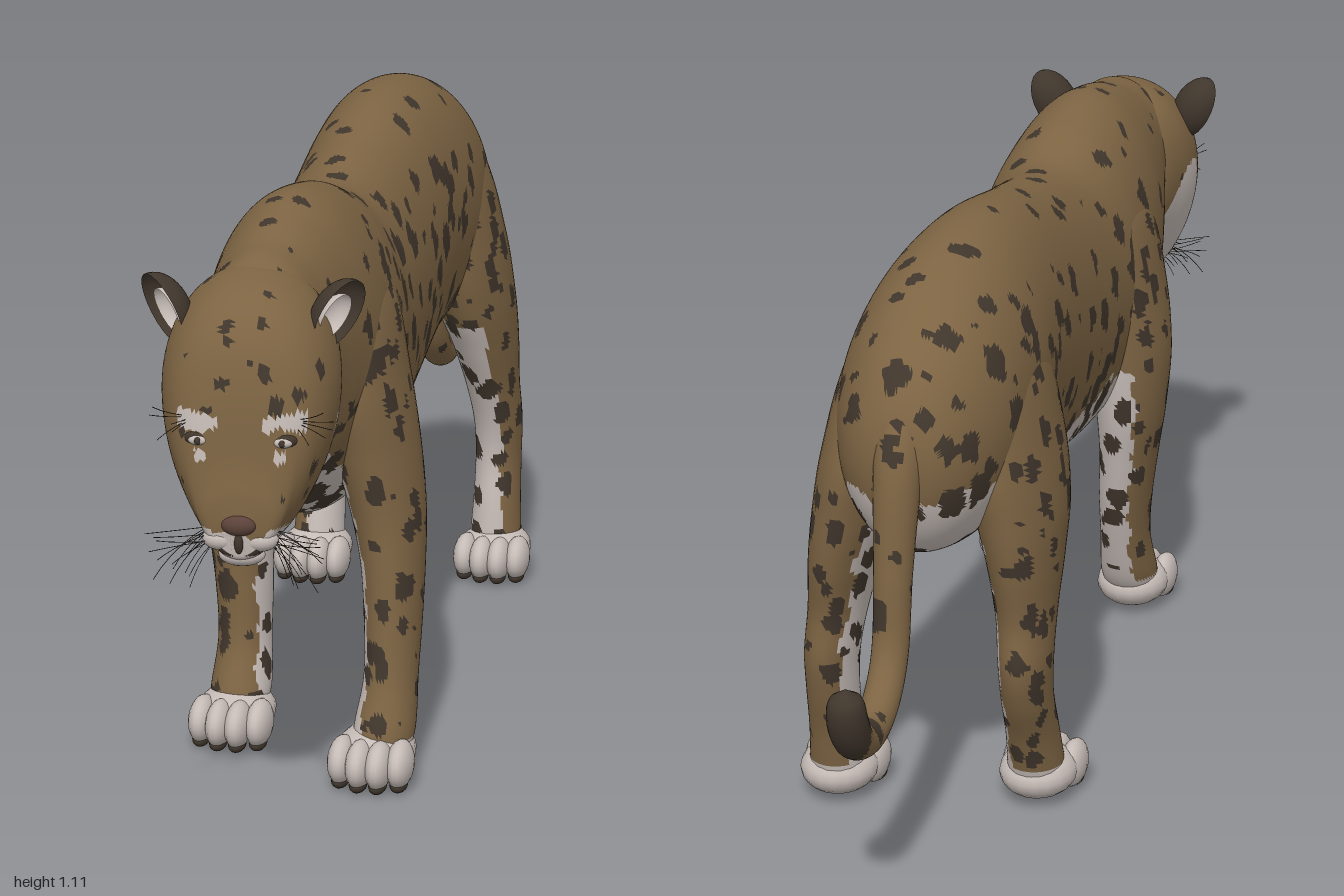
import * as THREE from 'three';

const mat = (name, color, side = THREE.FrontSide) => {
  const m = new THREE.MeshStandardMaterial({ color, side });
  m.name = name;
  return m;
};
const tan = mat('tanFur', 0x7d6443);
const pale = mat('paleFur', 0xc6bcb7, THREE.DoubleSide);
const dark = mat('darkSpot', 0x40362c, THREE.DoubleSide);
const noseMat = mat('noseBrown', 0x5c433a);
const COAT = [tan, pale, dark];
const TAN = 0, PALE = 1, DARK = 2;

// Repeatable scatter of irregular spots in space
const hash = (i, j, k) => {
  let h = Math.imul(i, 374761393) ^ Math.imul(j, 668265263) ^ Math.imul(k, 1440662683);
  h = Math.imul(h ^ (h >>> 13), 1274126177);
  h = Math.imul(h ^ (h >>> 15), 461845907);
  return ((h ^ (h >>> 16)) >>> 0) / 4294967296;
};
const wobble = p => Math.sin(p.x * 61 + p.y * 47) * 0.5 + Math.sin(p.z * 53 - p.y * 71) * 0.5;
function spotted(p, size, cell = 0.07) {
  const q = [p.x / cell, p.y * 0.8 / cell, p.z / cell];
  const [a, b, c] = q.map(Math.floor);
  const edge = 0.05 * Math.sin(p.y * 130 + p.z * 90) + 0.04 * Math.sin(p.z * 150 - p.x * 120);
  for (let i = a - 1; i <= a + 1; i++)
    for (let j = b - 1; j <= b + 1; j++)
      for (let k = c - 1; k <= c + 1; k++) {
        const d = Math.hypot(
          q[0] - i - hash(i, j, k), q[1] - j - hash(j + 9, k, i), q[2] - k - hash(k, i + 5, j));
        if (d + edge < size * (0.24 + 0.17 * hash(i + 3, k, j))) return true;
      }
  return false;
}

// Loft of ellipses: keys are [x, y, z, half width, half depth]; paint picks a colour per face
function loft(name, keys, rows, cols, paint, axis, taper = 0) {
  const curve = f => new THREE.CatmullRomCurve3(keys.map(f), false, 'catmullrom', 0.5);
  const path = curve(k => new THREE.Vector3(k[0], k[1], k[2]));
  const radii = curve(k => new THREE.Vector3(k[3], k[4], 0));
  const X = new THREE.Vector3(1, 0, 0), pos = [];
  for (let i = 0; i <= rows; i++) {
    const t = path.getUtoTmapping(i / rows);
    const c = path.getPoint(t), r = radii.getPoint(t);
    const dir = axis ? axis.clone() : path.getTangent(t).setX(0).normalize();
    const V = dir.cross(X);
    for (let j = 0; j < cols; j++) {
      const a = j / cols * Math.PI * 2;
      const w = Math.max(r.x, 0.001) * Math.cos(a) * (1 + taper * Math.sin(a));
      const h = Math.max(r.y, 0.001) * Math.sin(a);
      pos.push(c.x + w, c.y + V.y * h, c.z + V.z * h);
    }
  }
  const lists = [[], [], []], p = new THREE.Vector3();
  const add = (j, ...tri) => {
    const a = (j + 0.5) / cols * Math.PI * 2;
    p.set(0, 0, 0);
    for (const v of tri) p.add(new THREE.Vector3().fromArray(pos, v * 3));
    lists[paint(p.divideScalar(3), Math.cos(a), Math.sin(a))].push(...tri);
  };
  for (let i = 0; i < rows; i++)
    for (let j = 0; j < cols; j++) {
      const a = i * cols + j, b = i * cols + (j + 1) % cols;
      add(j, a, b, a + cols);
      add(j, b, b + cols, a + cols);
    }
  const geo = new THREE.BufferGeometry();
  geo.setAttribute('position', new THREE.Float32BufferAttribute(pos, 3));
  geo.setIndex(lists.flat());
  let start = 0;
  lists.forEach((l, m) => { geo.addGroup(start, l.length, m); start += l.length; });
  geo.computeVertexNormals();
  const mesh = new THREE.Mesh(geo, COAT);
  mesh.name = name;
  return mesh;
}

function ball(name, material, [x, y, z], [rx, ry, rz], geo = new THREE.SphereGeometry(1, 18, 12)) {
  const m = new THREE.Mesh(geo, material);
  m.name = name;
  m.position.set(x, y, z);
  m.scale.set(rx, ry, rz);
  return m;
}

// Coat rules
function torsoPaint(p) {
  const w = wobble(p) * 0.025;
  const belly = p.z < 0.46 && p.y < 0.605 + w;
  const chest = p.z > 0.46 && p.y < 0.76 + w && Math.abs(p.x) < 0.1 + w;
  const rump = p.z < -0.6 && p.y < 0.72 + w;
  const under = belly || chest || rump;
  const size = under ? (p.y < 0.62 ? 1.4 : 1) : p.z > 0.42 && p.y > 0.75 ? 0.75 : p.y > 1 ? 0.9 : 1.05;
  return spotted(p, size) ? DARK : under ? PALE : TAN;
}
// Pale on the inside, reaching round the back of the fore legs and the front of the hind legs
const legPaint = (side, turn) => (p, c, s) => {
  const inner = p.y < 0.6 + wobble(p) * 0.03 && c * side + turn * s < -0.2 + wobble(p) * 0.15;
  if (p.y < 0.09) return PALE;
  return spotted(p, p.y < 0.2 ? 0.9 : 1.1, 0.056) ? DARK : inner ? PALE : TAN;
};
function tailPaint(p) {
  if (p.z < -1.06 && p.z > -1.125 && p.x > 0.008 && wobble(p) > 0.3) return PALE;
  return p.z < -1.1 || spotted(p, 1.15, 0.06) ? DARK : TAN;
}
function headPaint(p) {
  const w = wobble(p) * 0.012, ax = Math.abs(p.x);
  if (p.z > 0.11 && Math.abs(p.y - 0.592) < 0.007) return DARK;
  if (p.y < 0.6 + w || (p.z > 0.12 && p.y < 0.625 + w)) return PALE;
  const cheek = Math.hypot((p.z + 0.035) / 0.08, (p.y - 0.72) / (p.y < 0.72 ? 0.2 : 0.16));
  if (ax > 0.06 && cheek < 1 + w * 8) return PALE;
  if (p.z > 0.08 && ax > 0.04 && ax < 0.115 && Math.abs(p.y - 0.826) < 0.014 + w) return PALE;
  if (p.z > 0.1 && ax > 0.06 && ax < 0.08 && Math.abs(p.y - 0.762) < 0.01) return PALE;
  return spotted(p, 0.5) ? DARK : TAN;
}

// Paw with four toes and pads
function paw(name, x, z) {
  const g = new THREE.Group();
  g.name = name;
  g.position.set(x, 0, z);
  g.add(ball('pawBody', pale, [0, 0.06, -0.025], [0.075, 0.05, 0.085]));
  g.add(ball('heelPad', dark, [0, 0.018, -0.02], [0.034, 0.012, 0.03]));
  for (let i = 0; i < 4; i++) {
    const k = i - 1.5, tz = 0.053 - Math.abs(k) * 0.016;
    g.add(ball('toe', pale, [k * 0.037, 0.055, tz], [0.026, 0.045, 0.057]));
    g.add(ball('toePad', dark, [k * 0.037, 0.02, tz + 0.012], [0.017, 0.015, 0.03]));
  }
  return g;
}

function buildHead() {
  const head = new THREE.Group();
  head.name = 'head';
  head.position.z = 0.85;
  head.rotation.y = 0.09;
  head.add(loft('skullAndMuzzle', [
    [0, 0.85, -0.19, 0.02, 0.03], [0, 0.85, -0.15, 0.1, 0.15], [0, 0.845, -0.07, 0.142, 0.2],
    [0, 0.815, 0.01, 0.157, 0.228], [0, 0.793, 0.08, 0.147, 0.225], [0, 0.765, 0.13, 0.125, 0.197],
    [0, 0.72, 0.16, 0.098, 0.152], [0, 0.66, 0.178, 0.073, 0.086], [0, 0.637, 0.19, 0.048, 0.05],
    [0, 0.635, 0.194, 0.001, 0.001]], 80, 80, headPaint, new THREE.Vector3(0, 0, 1), 0.16));
  head.add(ball('nose', noseMat, [0, 0.642, 0.186], [0.032, 0.02, 0.018]));
  head.add(ball('lipCleft', dark, [0, 0.61, 0.186], [0.009, 0.022, 0.013]));
  head.add(ball('chin', pale, [0, 0.577, 0.152], [0.042, 0.021, 0.03]));
  const cup = new THREE.SphereGeometry(1, 24, 10, 0, Math.PI * 2, 0, Math.PI / 2).rotateX(-Math.PI / 2);
  for (const s of [-1, 1]) {
    head.add(ball('whiskerPad', pale, [s * 0.034, 0.611, 0.167], [0.034, 0.022, 0.027]));
    head.add(ball('eyeRim', dark, [s * 0.073, 0.79, 0.154], [0.027, 0.016, 0.016]));
    head.add(ball('eye', pale, [s * 0.074, 0.788, 0.162], [0.018, 0.01, 0.012]));
    head.add(ball('pupil', dark, [s * 0.074, 0.788, 0.171], [0.006, 0.007, 0.005]));
    // Ears lean forward and open to the sides
    const ear = new THREE.Group();
    ear.name = s > 0 ? 'leftEar' : 'rightEar';
    ear.position.set(s * 0.157, 0.98, 0.022);
    ear.rotation.set(0.45, s * 0.8, -s * 0.75);
    ear.add(ball('earBack', dark, [0, 0, 0], [0.05, 0.07, 0.05], cup));
    ear.add(ball('earInside', pale, [0, -0.006, -0.006], [0.03, 0.044, 0.03], cup));
    head.add(ear);
    // Whiskers on the muzzle, then the brow
    for (let i = 0; i < 20; i++) {
      const brow = i > 14, f = hash(i, s + 3, 2), y = brow ? 0.82 : 0.6 + (i % 3) * 0.013;
      const from = new THREE.Vector3(s * (brow ? 0.08 : 0.045 + f * 0.02), y, brow ? 0.13 : 0.16);
      const reach = 0.03 + 0.07 * f, rise = brow ? 0.015 * (i - 17) : 0.015 - 0.007 * i;
      const mid = from.clone().add(new THREE.Vector3(s * reach * 0.6, rise * 0.3, 0.03));
      const to = from.clone().add(new THREE.Vector3(s * reach, rise, 0.05));
      const hair = new THREE.TubeGeometry(new THREE.QuadraticBezierCurve3(from, mid, to), 5, 0.0007, 4);
      const m = new THREE.Mesh(hair, dark);
      m.name = 'whisker';
      head.add(m);
    }
  }
  return head;
}

export function createModel() {
  const model = new THREE.Group();
  model.name = 'spottedCat';
  const cat = new THREE.Group();
  cat.name = 'walkingCat';
  cat.position.set(0.026, 0, 0.015);
  cat.rotation.y = -Math.PI / 6;
  model.add(cat);

  cat.add(loft('torso', [
    [0, 0.79, -0.83, 0.001, 0.001], [0, 0.785, -0.805, 0.075, 0.1], [0, 0.79, -0.74, 0.13, 0.19],
    [0, 0.81, -0.62, 0.17, 0.25], [0, 0.828, -0.45, 0.18, 0.278], [0, 0.822, -0.25, 0.168, 0.29],
    [0, 0.775, 0, 0.163, 0.295], [0, 0.75, 0.2, 0.168, 0.295], [0, 0.77, 0.35, 0.177, 0.315],
    [0, 0.795, 0.5, 0.17, 0.313], [0, 0.835, 0.62, 0.148, 0.26], [0, 0.88, 0.72, 0.125, 0.192],
    [0, 0.885, 0.82, 0.11, 0.165], [0, 0.87, 0.9, 0.05, 0.08]],
    210, 150, torsoPaint, new THREE.Vector3(0, 0, 1)));

  cat.add(loft('tail', [
    [0, 0.88, -0.75, 0.05, 0.05], [0, 0.78, -0.805, 0.045, 0.045], [0, 0.6, -0.842, 0.036, 0.036],
    [0, 0.46, -0.865, 0.034, 0.034], [0, 0.385, -0.92, 0.034, 0.034], [0, 0.355, -1, 0.034, 0.034],
    [0, 0.375, -1.08, 0.036, 0.036], [0, 0.43, -1.122, 0.037, 0.037], [0, 0.475, -1.13, 0.03, 0.03],
    [0, 0.495, -1.13, 0.001, 0.001]], 100, 28, tailPaint));

  // Leg outlines from top to ankle: [height, half width, half depth]
  const fore = [[1.0, 0.01, 0.08], [0.9, 0.065, 0.15], [0.75, 0.08, 0.165], [0.62, 0.08, 0.137],
    [0.5, 0.07, 0.112], [0.4, 0.06, 0.096], [0.29, 0.054, 0.082], [0.19, 0.051, 0.07],
    [0.1, 0.058, 0.07], [0.05, 0.052, 0.06]];
  const hind = [[1.02, 0.01, 0.09], [0.9, 0.07, 0.165], [0.74, 0.083, 0.19], [0.62, 0.08, 0.17],
    [0.52, 0.067, 0.137], [0.42, 0.055, 0.1], [0.33, 0.05, 0.085], [0.25, 0.048, 0.073],
    [0.16, 0.05, 0.066], [0.06, 0.056, 0.062]];
  const legs = [
    ['leftFront', 1, fore, [0.08, 0.1, 0.12, 0.145, 0.17, 0.184, 0.19, 0.192, 0.187, 0.182],
      [0.42, 0.435, 0.45, 0.46, 0.473, 0.494, 0.52, 0.55, 0.583, 0.6], [0.175, 0.625]],
    ['rightFront', -1, fore, [0.08, 0.1, 0.12, 0.14, 0.145, 0.14, 0.13, 0.125, 0.125, 0.128],
      [0.36, 0.375, 0.38, 0.365, 0.355, 0.362, 0.375, 0.395, 0.43, 0.455], [-0.127, 0.482]],
    ['leftHind', 1, hind, [0.08, 0.1, 0.128, 0.15, 0.17, 0.184, 0.194, 0.196, 0.197, 0.197],
      [-0.5, -0.52, -0.54, -0.555, -0.575, -0.59, -0.607, -0.604, -0.585, -0.57], [0.2, -0.535]],
    ['rightHind', -1, hind, [0.08, 0.1, 0.128, 0.15, 0.162, 0.168, 0.172, 0.172, 0.172, 0.173],
      [-0.47, -0.48, -0.49, -0.505, -0.525, -0.545, -0.568, -0.558, -0.52, -0.49], [-0.173, -0.455]],
  ];
  for (const [name, side, outline, xs, zs, foot] of legs) {
    const keys = outline.map(([y, rx, rz], i) => [side * xs[i], y, zs[i], rx, rz]);
    const paint = legPaint(side, outline === fore ? 0.7 : -0.65);
    cat.add(loft(name + 'Leg', keys, 95, 52, paint, new THREE.Vector3(0, -1, 0)));
    cat.add(paw(name + 'Paw', ...foot));
  }
  cat.add(buildHead());
  return model;
}
